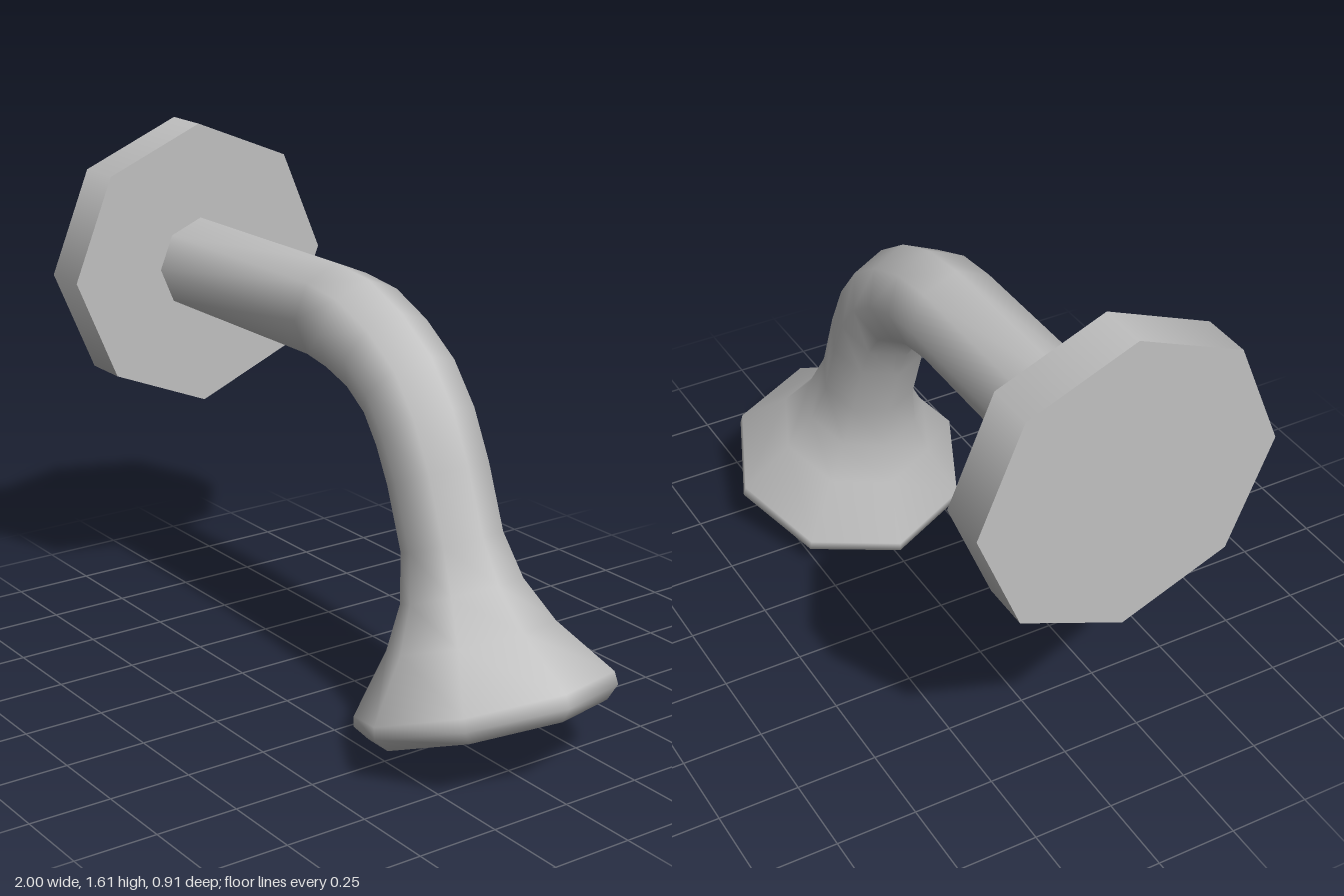
import * as THREE from 'three';

const SIDES = 8;

// Skin through octagonal rings; each ring is given by its outer and inner point in the xy plane
function loft(pairs, closeEnd = false) {
  const pos = [], index = [];
  for (const [ox, oy, ix, iy] of pairs) {
    const cx = (ox + ix) / 2, cy = (oy + iy) / 2;
    const ux = (ox - ix) / 2, uy = (oy - iy) / 2, r = Math.hypot(ux, uy);
    for (let j = 0; j < SIDES; j++) {
      const t = (j / SIDES) * Math.PI * 2;
      pos.push(cx + ux * Math.cos(t), cy + uy * Math.cos(t), r * Math.sin(t));
    }
  }
  for (let i = 0; i < pairs.length - 1; i++) {
    for (let j = 0; j < SIDES; j++) {
      const k = (j + 1) % SIDES;
      const a = i * SIDES + j, b = i * SIDES + k;
      index.push(a, b, a + SIDES, b, b + SIDES, a + SIDES);
    }
  }
  if (closeEnd) {
    const s = (pairs.length - 1) * SIDES;
    for (let j = 1; j < SIDES - 1; j++) index.push(s, s + j, s + j + 1);
  }
  const g = new THREE.BufferGeometry();
  g.setAttribute('position', new THREE.Float32BufferAttribute(pos, 3));
  g.setIndex(index);
  g.computeVertexNormals();
  return g;
}

export function createModel() {
  const group = new THREE.Group();
  const metal = new THREE.MeshStandardMaterial({ color: 0xc0c0c0 });
  metal.name = 'grey metal';
  const add = (name, geometry) => {
    const mesh = new THREE.Mesh(geometry, metal);
    mesh.name = name;
    group.add(mesh);
  };

  // Octagonal wall plate
  const plate = new THREE.CylinderGeometry(0.455, 0.455, 0.15, SIDES);
  plate.rotateZ(Math.PI / 2);
  plate.translate(-0.925, 1.15, 0);
  add('wallPlate', plate);

  // Opening in the underside of the head
  const opening = [0.9, 0.209, 0.39, 0.027];

  // Straight pipe, bend, flared head and rounded rim
  add('pipeAndHead', loft([
    [-0.86, 1.303, -0.86, 1.0],
    [-0.09, 1.303, -0.09, 1.0],
    [0.07, 1.285, 0.0, 0.985],
    [0.23, 1.22, 0.09, 0.955],
    [0.37, 1.125, 0.165, 0.905],
    [0.47, 1.0, 0.22, 0.83],
    [0.545, 0.85, 0.27, 0.73],
    [0.615, 0.66, 0.335, 0.55],
    [0.69, 0.54, 0.355, 0.40],
    [0.80, 0.435, 0.335, 0.265],
    [0.985, 0.322, 0.27, 0.06],
    [1.0, 0.285, 0.273, 0.03],
    [0.975, 0.237, 0.32, 0.0],
    opening,
  ]));

  // Hollow inside of the head, narrowing up into the neck
  add('headCavity', loft([
    opening,
    [0.71, 0.40, 0.40, 0.29],
    [0.60, 0.55, 0.40, 0.478],
  ], true));

  return group;
}
